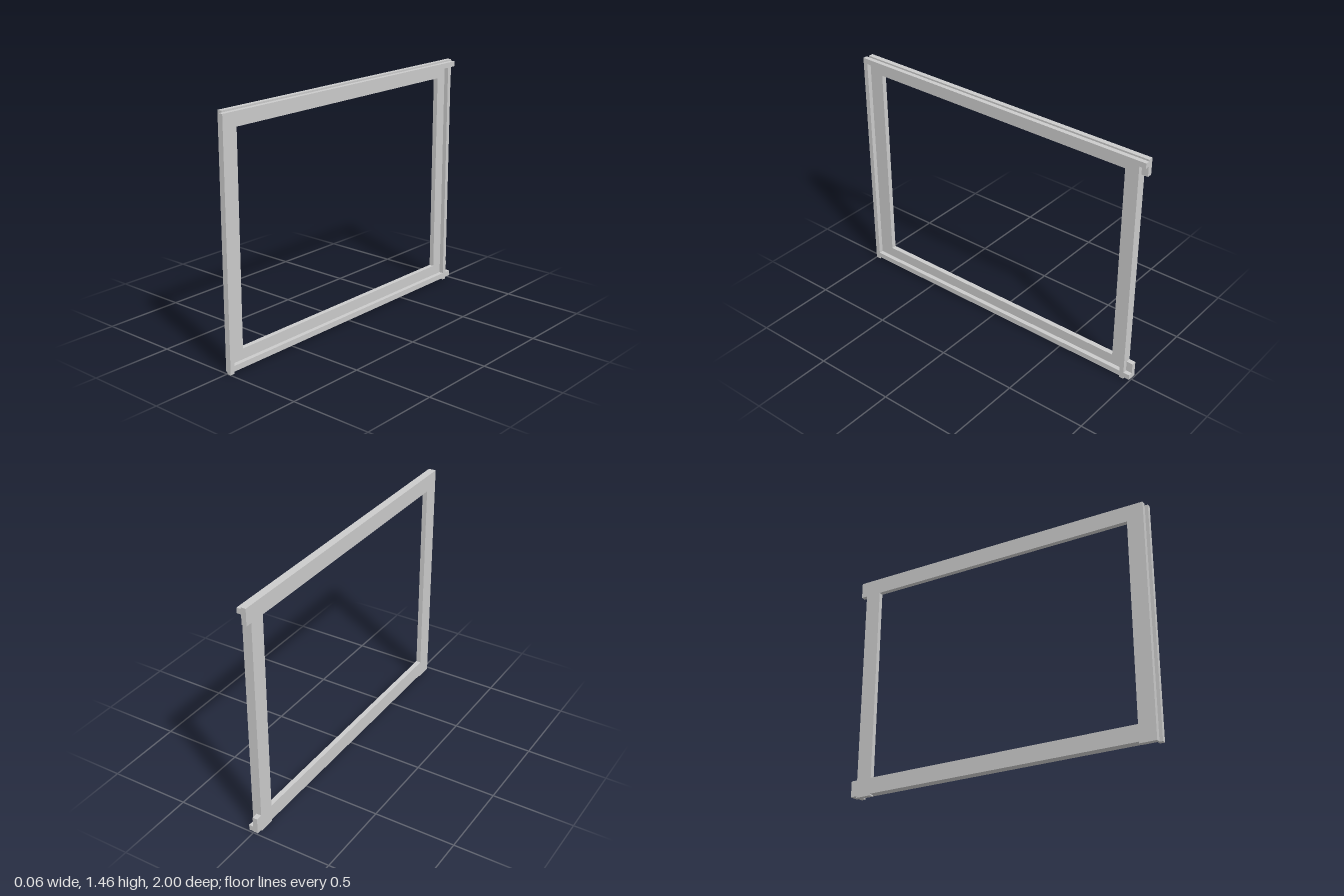
import * as THREE from 'three';

const material = new THREE.MeshStandardMaterial({ color: 0xcccccc, flatShading: true });

// Box given by its [min, max] range on each axis
function bar(name, [x0, x1], [y0, y1], [z0, z1]) {
  const mesh = new THREE.Mesh(new THREE.BoxGeometry(x1 - x0, y1 - y0, z1 - z0), material);
  mesh.position.set((x0 + x1) / 2, (y0 + y1) / 2, (z0 + z1) / 2);
  mesh.name = name;
  return mesh;
}

export function createModel() {
  const group = new THREE.Group();
  group.name = 'windowFrame';

  // Wide boards: long rails with stiles fitted between them
  const boardX = [-0.03, 0];
  const boards = new THREE.Group();
  boards.name = 'wideBoards';
  boards.add(
    bar('topBoard', boardX, [1.36, 1.462], [-1, 0.98]),
    bar('bottomBoard', boardX, [0.01, 0.11], [-1, 0.98]),
  );
  for (const [name, z] of [['frontStile', [0.877, 0.98]], ['backStile', [-0.96, -0.86]]]) {
    boards.add(
      bar(name, boardX, [0.11, 1.36], z),
      bar(name + 'Foot', boardX, [0, 0.01], z),
    );
  }

  // Narrow raised strips on the other face; the horizontal ones run past the back upright
  const stripX = [0, 0.027];
  const strips = new THREE.Group();
  strips.name = 'raisedStrips';
  strips.add(
    bar('topStrip', stripX, [1.42, 1.452], [-1, 0.97]),
    bar('bottomStrip', stripX, [0.012, 0.046], [-1, 0.97]),
    bar('frontUpright', stripX, [0, 1.452], [0.97, 1]),
    bar('backUpright', stripX, [0.046, 1.42], [-0.96, -0.932]),
    bar('backUprightFoot', stripX, [0, 0.012], [-0.96, -0.932]),
  );

  group.add(boards, strips);
  return group;
}
